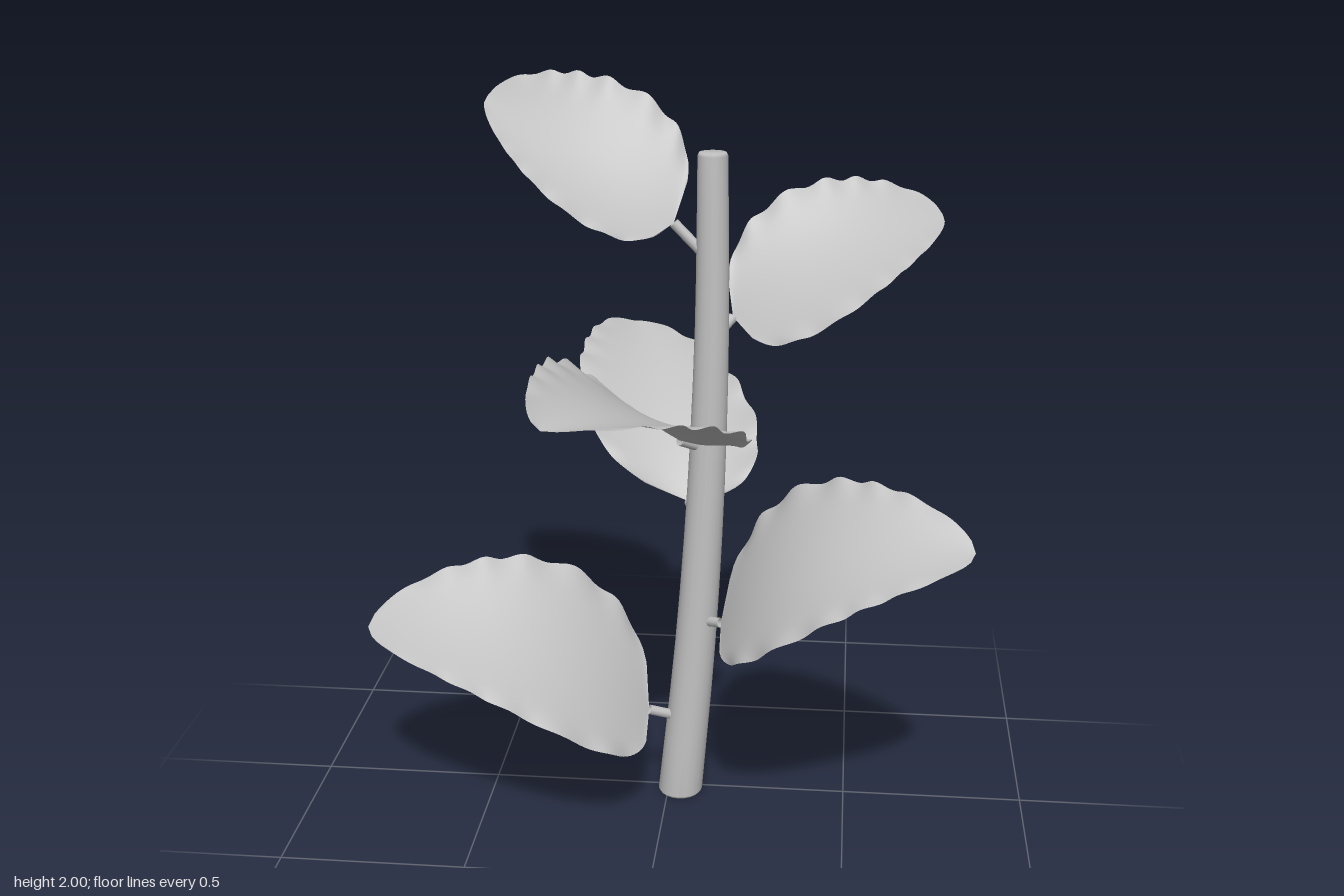
import * as THREE from 'three';

const grey = new THREE.MeshStandardMaterial({ name: 'plainGrey', color: 0xc0c0c0, side: THREE.DoubleSide });
const V = (p) => new THREE.Vector3(...p);

// gently leaning stem axis, its points evenly spaced in height
const HEIGHT = 1.83;
const stemAxis = new THREE.CatmullRomCurve3(
  [[0.034, 0, 0.03], [0.074, 0.4575, 0.014], [0.1, 0.915, 0], [0.112, 1.3725, -0.014], [0.11, HEIGHT, -0.027]].map(V),
  false, 'catmullrom');

function stemPoint(y) {
  return stemAxis.getPoint(THREE.MathUtils.clamp(y / HEIGHT, 0, 1));
}

// tapered lathe, then shifted sideways along the axis
function makeStem() {
  const profile = [[0, 0.004], [0.056, 0.004], [0.062, 0.012]];
  for (let i = 1; i <= 12; i++) profile.push([0.062 - 0.022 * i / 12, 0.012 + 1.81 * i / 12]);
  profile.push([0.036, HEIGHT], [0, HEIGHT]);
  const geo = new THREE.LatheGeometry(profile.map(([r, y]) => new THREE.Vector2(r, y)), 20);
  const pos = geo.attributes.position;
  for (let i = 0; i < pos.count; i++) {
    const c = stemPoint(pos.getY(i));
    pos.setX(i, pos.getX(i) + c.x);
    pos.setZ(i, pos.getZ(i) + c.z);
  }
  geo.computeVertexNormals();
  const mesh = new THREE.Mesh(geo, grey);
  mesh.name = 'stem';
  return mesh;
}

// ovate blade: spine through base, middle and tip; cupped sections reach both edges
function makeBlade({ base, mid, tip, left, right }) {
  const B = V(base), M = V(mid), T = V(tip), L = V(left), R = V(right);
  const ctrl = M.clone().addScaledVector(B, -0.36).addScaledVector(T, -0.16).divideScalar(0.48);
  const spine = new THREE.QuadraticBezierCurve3(B, ctrl, T);
  const side = R.clone().sub(L).multiplyScalar(0.5);
  const lift = R.clone().add(L).multiplyScalar(0.5).sub(M);
  const normal = side.clone().cross(T.clone().sub(B)).normalize();
  if (normal.y < 0) normal.negate();

  const geo = new THREE.PlaneGeometry(2, 1, 16, 64);
  const pos = geo.attributes.position;
  for (let i = 0; i < pos.count; i++) {
    const v = pos.getX(i), u = pos.getY(i) + 0.5;
    const a = Math.abs(v);
    // crinkled margin, curling downward between the teeth
    const wave = Math.sin(u * Math.PI * 13 + 1.2 * Math.sin(u * 9) + (v > 0 ? 0.8 : 0));
    const width = Math.pow(Math.max(0, Math.sin(Math.PI * Math.pow(u, 0.6))), 0.57);
    const w = width * (1 + 0.012 * wave * a ** 4);
    const p = spine.getPoint(u)
      .addScaledVector(side, v * w)
      .addScaledVector(lift, v * v * w)
      .addScaledVector(normal, width * a ** 8 * (0.008 * wave - 0.009));
    pos.setXYZ(i, p.x, p.y, p.z);
  }
  geo.computeVertexNormals();
  const mesh = new THREE.Mesh(geo, grey);
  mesh.name = 'leafBlade';
  return mesh;
}

// short stalk from the stem axis to the blade base
function makeStalk({ base, stalkY }) {
  const geo = new THREE.TubeGeometry(new THREE.LineCurve3(stemPoint(stalkY), V(base)), 4, 0.014, 10);
  const mesh = new THREE.Mesh(geo, grey);
  mesh.name = 'leafStalk';
  return mesh;
}

// leaves from the lowest to the highest
const leaves = [
  { name: 'lowerLeafRight', stalkY: 0.23, base: [-0.05, 0.275, 0.07], mid: [-0.31, 0.495, 0.19],
    tip: [-0.81, 0.55, 0.19], left: [-0.28, 0.39, 0.43], right: [-0.33, 0.675, -0.05] },
  { name: 'lowerLeafLeft', stalkY: 0.53, base: [0.15, 0.555, 0.08], mid: [0.36, 0.785, 0.235],
    tip: [0.81, 0.89, 0.33], left: [0.38, 0.955, 0.01], right: [0.355, 0.7, 0.485] },
  { name: 'backLeaf', stalkY: 0.79, base: [0.045, 0.835, -0.11], mid: [-0.03, 1.03, -0.33],
    tip: [-0.18, 1.19, -0.71], left: [-0.29, 1.13, -0.3], right: [0.2, 1.075, -0.32] },
  { name: 'frontLeaf', stalkY: 1.03, base: [0.035, 1.075, 0.065], mid: [-0.03, 1.225, 0.32],
    tip: [-0.23, 1.31, 0.71], left: [0.205, 1.215, 0.37], right: [-0.25, 1.375, 0.31] },
  { name: 'upperLeafLeft', stalkY: 1.33, base: [0.165, 1.385, -0.06], mid: [0.38, 1.53, -0.13],
    tip: [0.72, 1.61, -0.36], left: [0.32, 1.7, -0.285], right: [0.485, 1.45, 0.075] },
  { name: 'upperLeafRight', stalkY: 1.54, base: [0.01, 1.645, -0.02], mid: [-0.2, 1.78, -0.05],
    tip: [-0.52, 1.93, -0.26], left: [-0.285, 1.72, 0.105], right: [-0.12, 1.975, -0.21] },
];

export function createModel() {
  const plant = new THREE.Group();
  plant.name = 'leafyStem';
  plant.add(makeStem());
  for (const spec of leaves) {
    const leaf = new THREE.Group();
    leaf.name = spec.name;
    leaf.add(makeStalk(spec), makeBlade(spec));
    plant.add(leaf);
  }
  return plant;
}
